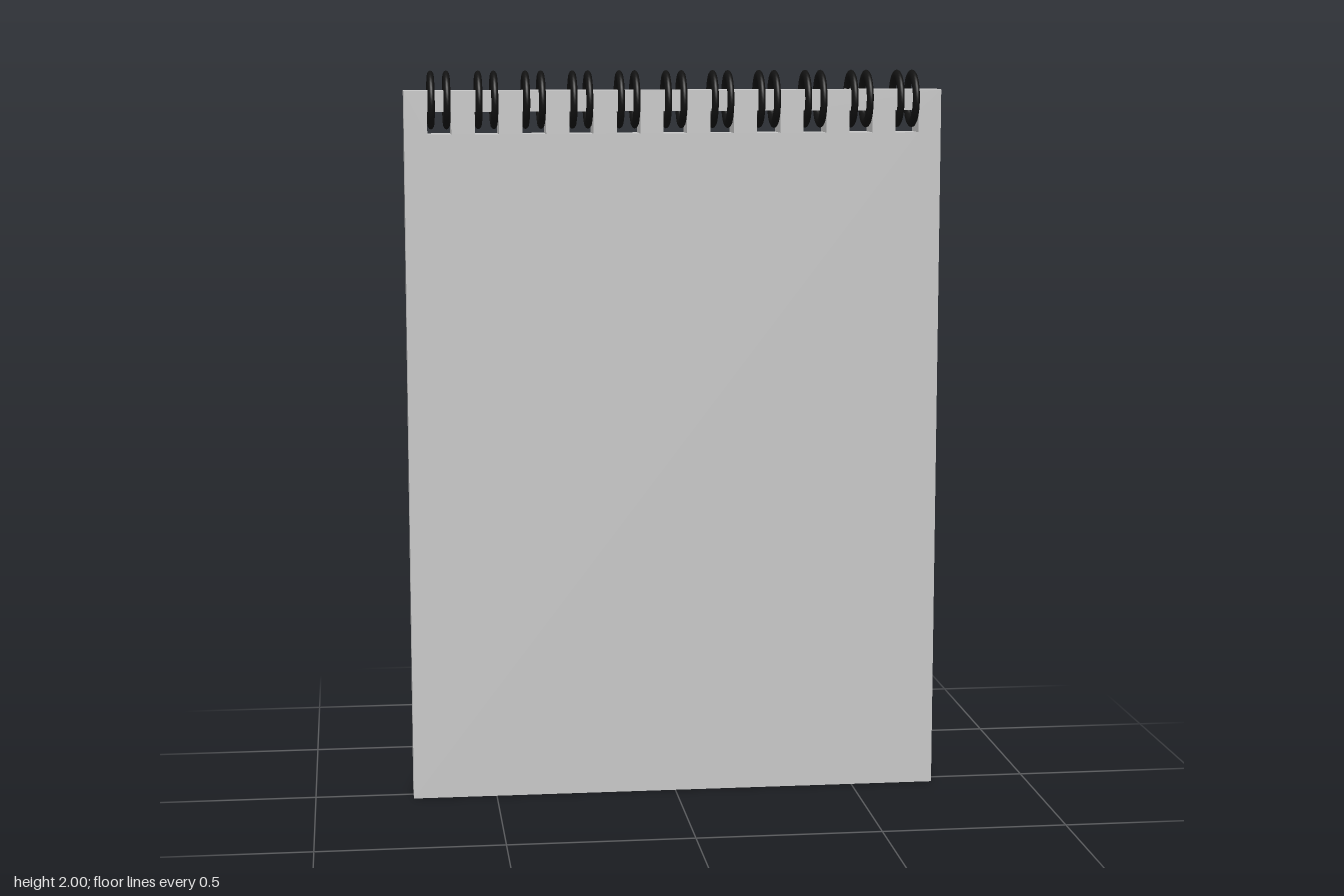
import * as THREE from 'three';

const HALF_WIDTH = 0.73, HEIGHT = 1.947, DEPTH = 0.088;
const COUNT = 11, PITCH = 0.1272;

// Adds a closed rectangle to a shape or hole path
function rect(path, x0, y0, x1, y1) {
  path.moveTo(x0, y0);
  path.lineTo(x1, y0);
  path.lineTo(x1, y1);
  path.lineTo(x0, y1);
  path.closePath();
  return path;
}

export function createModel() {
  const model = new THREE.Group();
  model.name = 'wireBoundNotepad';

  const padGrey = new THREE.MeshStandardMaterial({ color: 0xc7c7c7 });
  padGrey.name = 'pad grey';
  const wireBlack = new THREE.MeshStandardMaterial({ color: 0x131313 });
  wireBlack.name = 'wire black';

  const centres = Array.from({ length: COUNT }, (_, i) => (i - (COUNT - 1) / 2) * PITCH);

  // Pad of paper with a row of punched holes under the top edge
  const outline = rect(new THREE.Shape(), -HALF_WIDTH, 0, HALF_WIDTH, HEIGHT);
  for (const x of centres) {
    outline.holes.push(rect(new THREE.Path(), x - 0.032, 1.831, x + 0.032, 1.891));
  }
  const padGeometry = new THREE.ExtrudeGeometry(outline, { depth: DEPTH, bevelEnabled: false });
  padGeometry.translate(0, 0, -DEPTH / 2);
  const pad = new THREE.Mesh(padGeometry, padGrey);
  pad.name = 'pad';
  model.add(pad);

  // Twin wire loops through each hole, flattened sideways
  const loopGeometry = new THREE.TorusGeometry(0.0635, 0.015, 12, 40);
  loopGeometry.scale(1, 1, 0.63);
  loopGeometry.rotateY(Math.PI / 2);
  const binding = new THREE.Group();
  binding.name = 'wireBinding';
  for (const x of centres) {
    for (const side of [-1, 1]) {
      const loop = new THREE.Mesh(loopGeometry, wireBlack);
      loop.name = 'wireLoop';
      loop.position.set(x + side * 0.021, 1.9215, 0);
      binding.add(loop);
    }
  }
  model.add(binding);

  return model;
}
